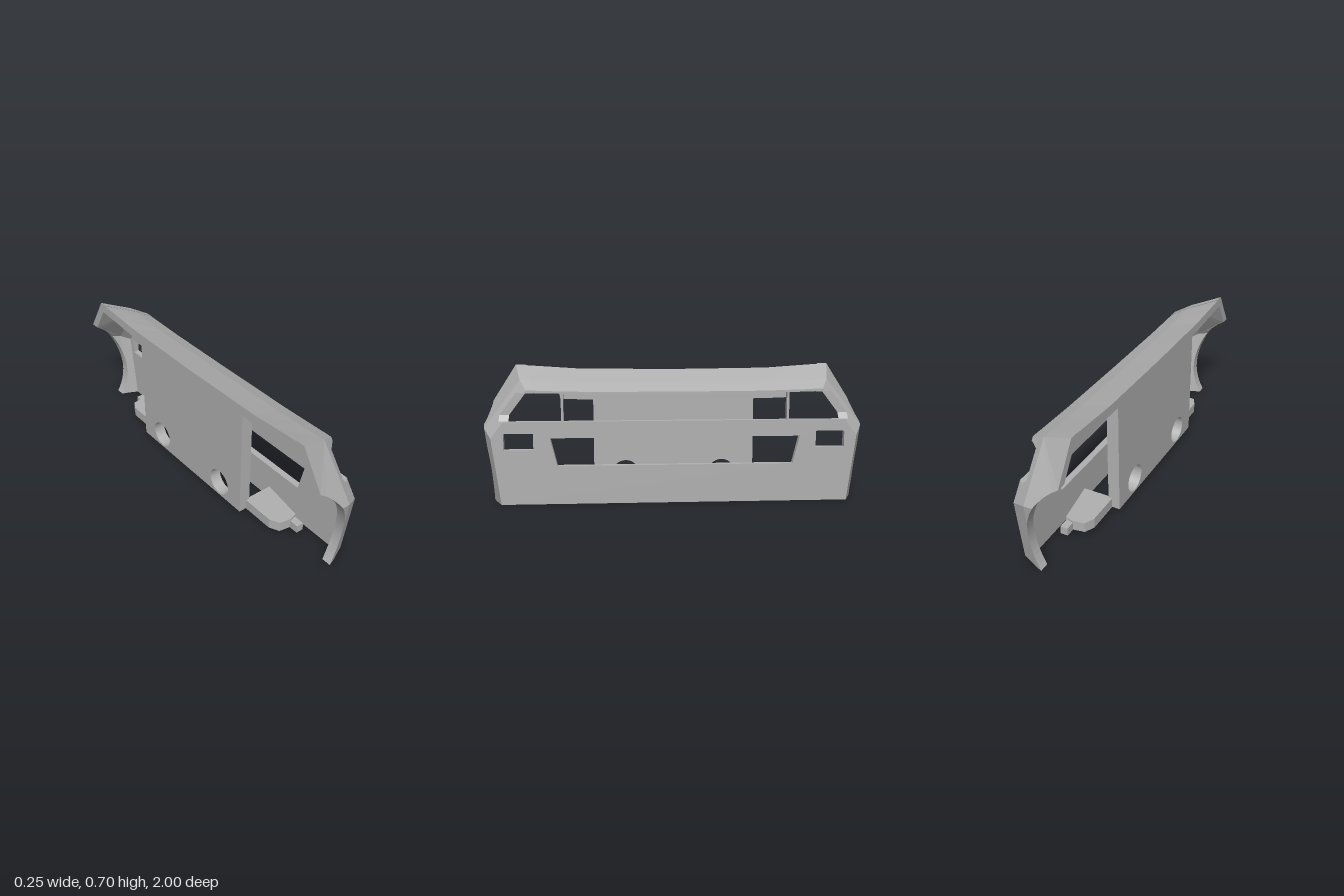
import * as THREE from 'three';

const body = new THREE.MeshStandardMaterial({ color: 0xb0b0b0, side: THREE.DoubleSide });
body.name = 'grey body';

// piecewise linear lookup in [[key, value], ...]
function lerpTable(table, k) {
  let i = 0;
  while (i < table.length - 2 && k > table[i + 1][0]) i++;
  const [a, va] = table[i], [b, vb] = table[i + 1];
  return va + (vb - va) * (k - a) / (b - a);
}

// edges of the side panels: height and half-width along x
const ridgeY = x => lerpTable([[-0.127, 0.703], [0.04, 0.635], [0.127, 0.59]], x);
const ridgeZ = x => lerpTable([[-0.127, 0.84], [0.04, 0.80], [0.127, 0.76]], x);
const creaseY = x => lerpTable([[-0.127, 0.425], [0.04, 0.388], [0.127, 0.345]], x);
const creaseZ = x => lerpTable([[-0.127, 1.02], [0.04, 0.99], [0.127, 0.945]], x);
const bottomZ = x => lerpTable([[-0.003, 0.955], [0.04, 0.94], [0.127, 0.90]], x);
// wheel arch circle
const archX = y => -0.329 + Math.sqrt(0.381 ** 2 - (y - 0.19) ** 2);

function mesh(name, geometry) {
  const m = new THREE.Mesh(geometry, body);
  m.name = name;
  return m;
}

// closed slab between two grids of points
function slab(outer, inner) {
  const pos = [];
  const quad = (a, b, c, d) => pos.push(...a, ...b, ...c, ...a, ...c, ...d);
  const R = outer.length - 1, C = outer[0].length - 1;
  for (let r = 0; r < R; r++) {
    for (let c = 0; c < C; c++) {
      quad(outer[r][c], outer[r][c + 1], outer[r + 1][c + 1], outer[r + 1][c]);
      quad(inner[r][c], inner[r + 1][c], inner[r + 1][c + 1], inner[r][c + 1]);
    }
    quad(outer[r][0], outer[r + 1][0], inner[r + 1][0], inner[r][0]);
    quad(outer[r + 1][C], outer[r][C], inner[r][C], inner[r + 1][C]);
  }
  for (let c = 0; c < C; c++) {
    quad(outer[0][c + 1], outer[0][c], inner[0][c], inner[0][c + 1]);
    quad(outer[R][c], outer[R][c + 1], inner[R][c + 1], inner[R][c]);
  }
  const g = new THREE.BufferGeometry();
  g.setAttribute('position', new THREE.Float32BufferAttribute(pos, 3));
  g.computeVertexNormals();
  return g;
}

const outline = pts => new THREE.Shape(pts.map(p => new THREE.Vector2(...p)));
const hole = pts => new THREE.Path(pts.map(p => new THREE.Vector2(...p)));
const roundHole = (x, y, r) => new THREE.Path().absarc(x, y, r, 0, Math.PI * 2, true);
const extrude = (shape, depth) =>
  new THREE.ExtrudeGeometry(shape, { depth, bevelEnabled: false, curveSegments: 20 });
// plate facing x, drawn in (z, y)
const xPlate = (shape, x, depth) => extrude(shape, depth).rotateY(Math.PI / 2).translate(x, 0, 0);
// plate facing y, drawn in (x, z)
const yPlate = (shape, top, depth) => extrude(shape, depth).rotateX(Math.PI / 2).translate(0, top, 0);

// sloping top, dipping slightly towards the middle
function topCover() {
  const xs = [-0.127, 0.04, 0.075, 0.093, 0.0935, 0.127];
  const thick = [0.05, 0.05, 0.05, 0.058, 0.022, 0.012];
  const ts = [-1, -0.765, -0.76, -0.6, -0.3, 0, 0.3, 0.6, 0.76, 0.765, 1];
  const outer = [], inner = [];
  for (const t of ts) {
    const dip = lerpTable([[0, 0.028], [0.6, 0.023], [1, 0]], Math.abs(t));
    const row = xs.map(x => [x, ridgeY(x) - dip * lerpTable([[-0.127, 1], [0.127, 0.36]], x), t * ridgeZ(x)]);
    outer.push(row);
    inner.push(row.map(([x, y, z], i) =>
      [x, y - (i >= 2 && Math.abs(t) > 0.762 ? Math.min(thick[i], 0.022) : thick[i]), z]));
  }
  return slab(outer, inner);
}

// upper side piece, drawn in (x, y) and pushed out to the leaning surface
function upperSide(pts) {
  const g = extrude(outline(pts), 0.05).translate(0, 0, -0.05);
  const p = g.attributes.position;
  for (let i = 0; i < p.count; i++) {
    const x = p.getX(i), t = (ridgeY(x) - p.getY(i)) / (ridgeY(x) - creaseY(x));
    p.setZ(i, p.getZ(i) + ridgeZ(x) + (creaseZ(x) - ridgeZ(x)) * t);
  }
  g.computeVertexNormals();
  return g;
}

// lower side piece, from the wheel arch to the front face
function lowerSide() {
  const outer = [];
  for (let i = 0; i <= 16; i++) {
    const v = i / 16, a = archX(v * 0.399);
    outer.push([a, Math.max(0.04, a + 0.003), 0.127].map(x =>
      [x, v * creaseY(x), bottomZ(x) + (creaseZ(x) - bottomZ(x)) * v]));
  }
  return slab(outer, outer.map(row => row.map(([x, y, z]) => [x, y, z - 0.05])));
}

function endParts() {
  const g = new THREE.Group();
  const arch = [];
  for (let i = 0; i <= 10; i++) {
    const y = 0.399 + (0.513 - 0.399) * i / 10;
    arch.push([archX(y), y]);
  }
  g.add(mesh('upperSideRear', upperSide([[-0.127, 0.703], [0.04, 0.635], [0.04, 0.388], ...arch])));
  // notch for the corner lamp
  g.add(mesh('upperSideFront', upperSide([[0.04, 0.635], [0.127, 0.59], [0.127, 0.575], [0.075, 0.575],
    [0.075, 0.46], [0.1, 0.43], [0.127, 0.43], [0.127, 0.345], [0.04, 0.388]])));
  g.add(mesh('lowerSide', lowerSide()));

  const pillar = mesh('grillePillar', new THREE.BoxGeometry(0.034, 0.147, 0.012));
  pillar.position.set(0.11, 0.5025, 0.58);
  g.add(pillar);

  // bracket with two round sockets underneath
  const plan = [[-0.085, 0.42], [-0.085, 0.61], [-0.06, 0.66], [0, 0.67], [0.045, 0.66], [0.08, 0.42]];
  const lower = outline(plan);
  lower.holes.push(roundHole(0, 0.49, 0.06), roundHole(0, 0.605, 0.035));
  g.add(mesh('bracketTop', yPlate(outline(plan), 0.087, 0.017)));
  g.add(mesh('bracketSockets', yPlate(lower, 0.07, 0.037)));
  const tab = mesh('bracketTab', new THREE.BoxGeometry(0.04, 0.042, 0.06));
  tab.position.set(0.02, 0.054, 0.69);
  g.add(tab);
  return g;
}

export function createModel() {
  const model = new THREE.Group();
  model.name = 'bumper';
  model.add(mesh('topCover', topCover()));

  // front face with lower intake and two lamp openings
  const face = outline([[-0.9, 0], [0.9, 0], [0.945, 0.345], [0.881, 0.43], [-0.881, 0.43], [-0.945, 0.345]]);
  face.holes.push(hole([[-0.61, 0.2], [-0.645, 0.345], [0.645, 0.345], [0.61, 0.2]]));
  for (const s of [-1, 1])
    face.holes.push(hole([[s * 0.73, 0.285], [s * 0.88, 0.285], [s * 0.88, 0.37], [s * 0.73, 0.37]]));
  model.add(mesh('frontFace', xPlate(face, 0.093, 0.034)));

  // rear plate with two round holes
  const back = outline([[-0.43, 0.033], [0.43, 0.033], [0.43, 0.645], [-0.43, 0.645]]);
  back.holes.push(roundHole(-0.26, 0.115, 0.073), roundHole(0.26, 0.115, 0.073));
  model.add(mesh('backPlate', xPlate(back, -0.127, 0.062)));

  // both ends, mirrored
  for (const s of [1, -1]) {
    const end = endParts();
    end.name = s > 0 ? 'frontEnd' : 'rearEnd';
    end.scale.z = s;
    model.add(end);
  }
  return model;
}
